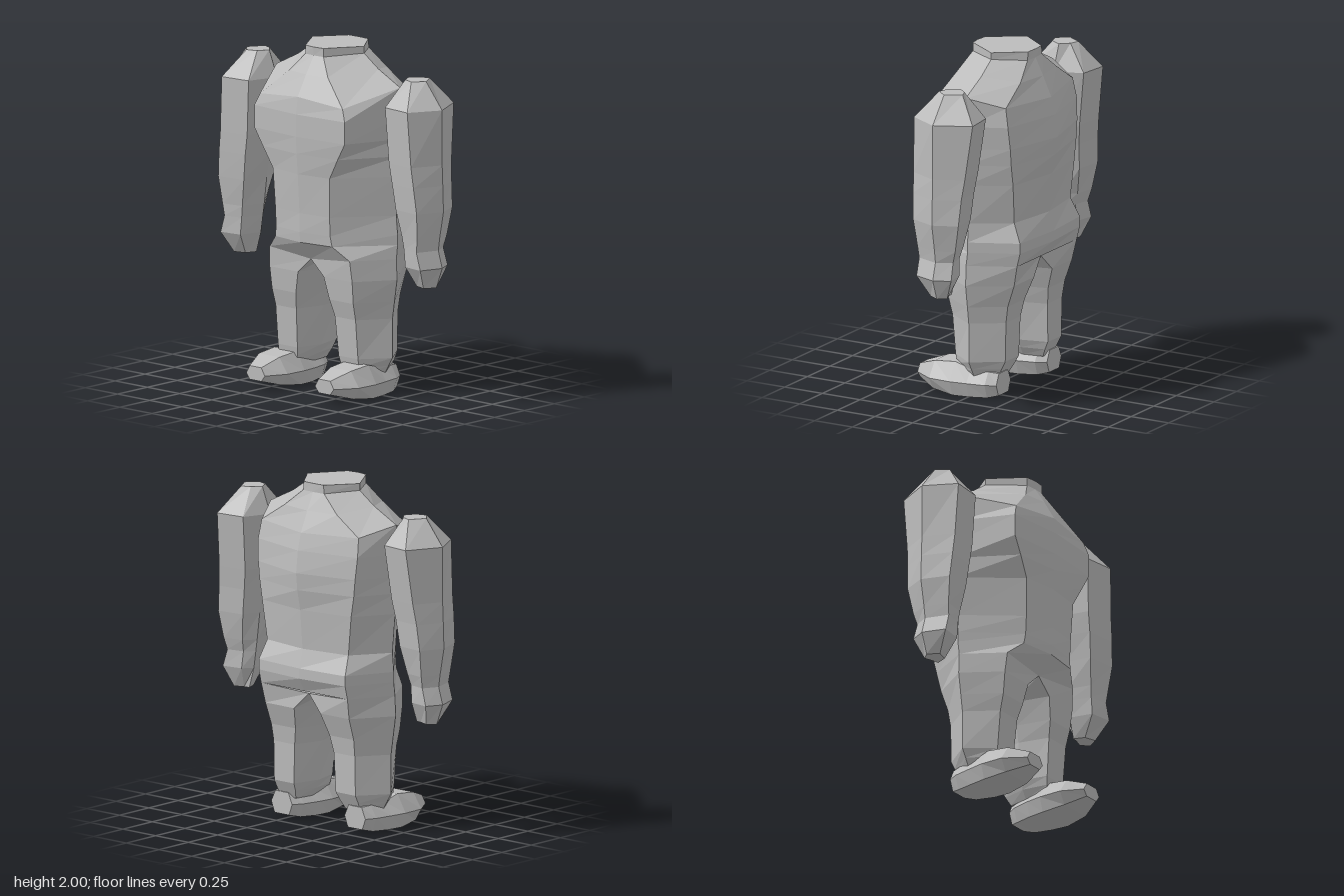
import * as THREE from 'three';

const grey = new THREE.MeshStandardMaterial({ color: 0xbcbcbc, flatShading: true });
grey.name = 'clay grey';

// Skin a stack of equal-sized rings of [x, y, z] points and cap both ends.
function loft(name, rings, mirror = false) {
  if (mirror) rings = rings.map(r => r.map(([x, y, z]) => [-x, y, z]).reverse());
  const pos = [], tri = (a, b, c) => pos.push(...a, ...b, ...c);
  const n = rings[0].length;
  const mid = r => [0, 1, 2].map(k => r.reduce((s, p) => s + p[k], 0) / n);
  const first = rings[0], last = rings[rings.length - 1];
  const c0 = mid(first), c1 = mid(last);
  for (let j = 0; j < n; j++) {
    const k = (j + 1) % n;
    for (let i = 0; i < rings.length - 1; i++) {
      const a = rings[i], b = rings[i + 1];
      tri(a[j], a[k], b[k]);
      tri(a[j], b[k], b[j]);
    }
    tri(c0, first[k], first[j]);
    tri(c1, last[j], last[k]);
  }
  const g = new THREE.BufferGeometry();
  g.setAttribute('position', new THREE.Float32BufferAttribute(pos, 3));
  g.computeVertexNormals();
  const mesh = new THREE.Mesh(g, grey);
  mesh.name = name;
  return mesh;
}

// Eight-sided torso ring from one half: front, front corner, side, back corner, back.
function torsoRing(half) {
  const other = half.slice(1, 4).reverse().map(([x, y, z]) => [-x, y, z]);
  return [...half, ...other];
}

function makeTorso() {
  // y, front z, front corner x z, side x, back corner x z, back z
  const rows = [
    [0.88, 0.28, 0.22, 0.25, 0.46, 0.33, -0.31, -0.335],
    [0.94, 0.285, 0.21, 0.255, 0.46, 0.33, -0.31, -0.335],
    [1.05, 0.285, 0.21, 0.26, 0.45, 0.31, -0.26, -0.305],
    [1.28, 0.30, 0.22, 0.27, 0.47, 0.34, -0.27, -0.325],
    [1.40, 0.31, 0.29, 0.28, 0.475, 0.36, -0.27, -0.35],
    [1.50, 0.315, 0.35, 0.285, 0.475, 0.37, -0.27, -0.36],
    [1.63, 0.315, 0.35, 0.285, 0.48, 0.38, -0.26, -0.345],
  ].map(([y, f, cx, cz, s, bx, bz, b]) =>
    torsoRing([[0, y, f], [cx, y, cz], [s, y, -0.04], [bx, y, bz], [0, y, b]]));
  const hem = torsoRing([[0, 0.77, 0.19], [0.31, 0.8, 0.2], [0.46, 0.8, -0.03], [0.33, 0.8, -0.29], [0, 0.8, -0.29]]);
  // Sloping shoulders and the open collar
  const chest = torsoRing([[0, 1.73, 0.30], [0.32, 1.70, 0.27], [0.48, 1.80, -0.04], [0.37, 1.74, -0.24], [0, 1.73, -0.32]]);
  const shoulder = torsoRing([[0, 1.85, 0.23], [0.15, 1.85, 0.21], [0.31, 1.885, -0.04], [0.2, 1.85, -0.235], [0, 1.85, -0.265]]);
  const neckBase = torsoRing([[0, 1.95, 0.165], [0.07, 1.95, 0.16], [0.2, 1.96, -0.04], [0.08, 1.95, -0.21], [0, 1.95, -0.215]]);
  const neckTop = torsoRing([[0, 2, 0.168], [0.07, 2, 0.16], [0.2, 2, -0.04], [0.075, 2, -0.21], [0, 2, -0.213]]);
  return loft('torso', [hem, ...rows, chest, shoulder, neckBase, neckTop]);
}

// Six-sided leg rings: front inner, front outer, outer, back outer, back inner, inner.
function legRings() {
  const rows = [
    // y, inner corner x, outer corner x, outer x, inner x, front z, back z
    [0.12, 0.19, 0.30, 0.37, 0.17, 0.11, -0.15],
    [0.17, 0.17, 0.31, 0.40, 0.14, 0.12, -0.175],
    [0.22, 0.16, 0.31, 0.43, 0.12, 0.13, -0.20],
    [0.45, 0.15, 0.31, 0.43, 0.10, 0.15, -0.205],
    [0.55, 0.13, 0.315, 0.445, 0.08, 0.175, -0.22],
    [0.68, 0.10, 0.32, 0.465, 0.04, 0.19, -0.265],
  ].map(([y, ic, oc, o, i, f, b]) =>
    [[ic, y, f], [oc, y, f], [o, y, -0.03], [oc, y, b], [ic, y, b], [i, y, -0.03]]);
  const hip = [[0, 0.77, 0.19], [0.31, 0.8, 0.2], [0.46, 0.8, -0.03], [0.33, 0.8, -0.29], [0, 0.78, -0.25], [0, 0.77, -0.03]];
  return [...rows, hip];
}

// Foot rings run from heel to toe.
function footRings() {
  return [
    // z, outer x, inner x, bottom half-width, top half-width, bottom y, top y
    [-0.17, 0.36, 0.20, 0.055, 0.05, 0.02, 0.15],
    [-0.11, 0.39, 0.165, 0.085, 0.07, 0.005, 0.155],
    [0.0, 0.41, 0.14, 0.11, 0.08, 0, 0.16],
    [0.10, 0.425, 0.13, 0.12, 0.085, 0.0, 0.19],
    [0.24, 0.42, 0.135, 0.10, 0.08, 0.015, 0.175],
    [0.365, 0.34, 0.195, 0.045, 0.045, 0.05, 0.13],
  ].map(([z, o, i, bw, tw, b, t]) => {
    const c = (o + i) / 2;
    return [[c - bw, b, z], [c + bw, b, z], [o, 0.085, z], [c + tw, t, z], [c - tw, t, z], [i, 0.085, z]];
  });
}

// Six-sided arm rings: front inner, front outer, outer, back outer, back inner, inner.
function armRings() {
  return [
    // y, front inner x, front outer x, outer x, inner x, front z, back z
    [0.68, 0.665, 0.735, 0.775, 0.64, 0.04, -0.07],
    [0.80, 0.64, 0.775, 0.82, 0.605, 0.11, -0.12],
    [0.90, 0.63, 0.745, 0.79, 0.59, 0.11, -0.115],
    [0.97, 0.62, 0.755, 0.80, 0.58, 0.115, -0.135],
    [1.13, 0.59, 0.77, 0.83, 0.56, 0.135, -0.165],
    [1.28, 0.57, 0.755, 0.825, 0.53, 0.145, -0.175],
    [1.40, 0.55, 0.74, 0.82, 0.51, 0.15, -0.19],
    [1.72, 0.53, 0.72, 0.82, 0.48, 0.16, -0.23],
    [1.87, 0.575, 0.64, 0.695, 0.54, 0.04, -0.115],
  ].map(([y, fi, fo, o, i, f, b]) =>
    [[fi, y, f - 0.02], [fo, y, f], [o, y, -0.025], [fo, y, b], [fi + 0.01, y, b + 0.02], [i, y, -0.045]]);
}

export function createModel() {
  const model = new THREE.Group();
  model.name = 'headlessBody';
  model.add(makeTorso());
  for (const [side, mirror] of [['left', false], ['right', true]]) {
    model.add(
      loft(side + 'Arm', armRings(), mirror),
      loft(side + 'Leg', legRings(), mirror),
      loft(side + 'Foot', footRings(), mirror),
    );
  }
  return model;
}
